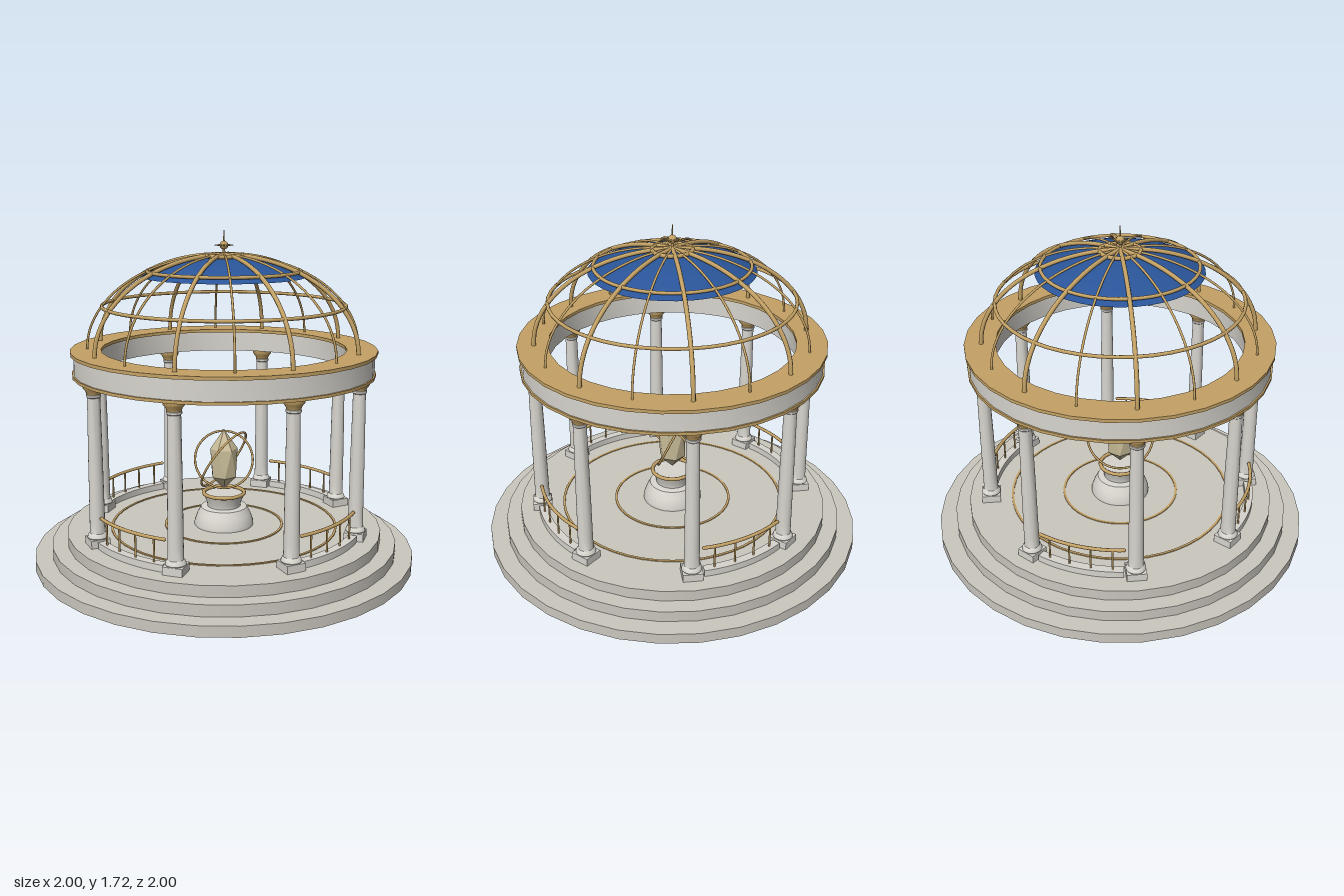
import * as THREE from 'three';
import { toCreasedNormals } from 'three/addons/utils/BufferGeometryUtils.js';

const mat = (name, color, extra = {}) => {
  const m = new THREE.MeshStandardMaterial({ color, ...extra });
  m.name = name;
  return m;
};

export function createModel() {
  const floorStone = mat('floor stone', 0xcbc7bf);
  const marble = mat('marble', 0xd8d5ce);
  const gold = mat('gold', 0xc4a265);
  const blue = mat('dome blue', 0x2a5599, { side: THREE.DoubleSide });
  const crystalMat = mat('crystal', 0xc8bc98, { flatShading: true });

  const root = new THREE.Group();
  root.name = 'domedPavilion';
  const add = (parent, name, geo, material, x = 0, y = 0, z = 0) => {
    const m = new THREE.Mesh(geo, material);
    m.name = name;
    m.position.set(x, y, z);
    parent.add(m);
    return m;
  };
  const lathe = (pts, seg = 32) =>
    toCreasedNormals(new THREE.LatheGeometry(pts.map(p => new THREE.Vector2(...p)), seg), 0.6);
  // closed band with a rectangular section
  const band = (r0, r1, y0, y1, seg = 32) =>
    lathe([[r1, y0], [r1, y1], [r0, y1], [r0, y0], [r1, y0]], seg);
  const hoop = (r, t, seg = 48) => new THREE.TorusGeometry(r, t, 8, seg).rotateX(Math.PI / 2);
  // group turned so its local +z points outward at angle a
  const spoke = (name, a) => {
    const g = new THREE.Group();
    g.name = name;
    g.rotation.y = a;
    root.add(g);
    return g;
  };

  // Stepped base
  [[1, 0, 0.055], [0.91, 0.055, 0.113], [0.83, 0.113, 0.17]].forEach(([r, y0, y1], i) =>
    add(root, 'step' + (i + 1), new THREE.CylinderGeometry(r, r, y1 - y0, 32), floorStone, 0, (y0 + y1) / 2));

  // Gold circles set in the floor
  for (const r of [0.31, 0.595]) add(root, 'floorInlay', band(r - 0.006, r + 0.006, 0.168, 0.175, 48), gold);

  // Columns
  const R = 0.71;
  const shaft = lathe([[0.046, 0.205], [0.051, 0.215], [0.046, 0.23], [0.039, 0.237], [0.038, 0.3],
    [0.036, 0.6], [0.032, 0.93], [0.037, 0.935], [0.037, 0.945], [0.032, 0.95]], 20);
  const capital = lathe([[0, 0.945], [0.034, 0.945], [0.038, 0.96], [0.052, 0.978], [0.054, 1], [0, 1]], 20);
  for (let i = 0; i < 8; i++) {
    const g = spoke('column', Math.PI / 8 + i * Math.PI / 4);
    add(g, 'plinth', new THREE.BoxGeometry(0.1, 0.04, 0.1), marble, 0, 0.19, R);
    add(g, 'shaft', shaft, marble, 0, 0, R);
    add(g, 'capital', capital, gold, 0, 0, R);
  }

  // Curved railings on the four diagonals
  const arc = 0.62, mid = Math.PI / 2;
  const curbShape = new THREE.Shape();
  curbShape.absarc(0, 0, R + 0.022, mid - arc / 2, mid + arc / 2, false);
  curbShape.absarc(0, 0, R - 0.022, mid + arc / 2, mid - arc / 2, true);
  const curb = new THREE.ExtrudeGeometry(curbShape, { depth: 0.035, bevelEnabled: false, curveSegments: 10 })
    .rotateX(Math.PI / 2);
  const rail = new THREE.TorusGeometry(R, 0.009, 8, 16, arc).rotateZ(mid - arc / 2).rotateX(Math.PI / 2);
  for (let i = 0; i < 4; i++) {
    const g = spoke('railing', Math.PI / 4 + i * Math.PI / 2);
    add(g, 'curb', curb, marble, 0, 0.205, 0);
    add(g, 'handrail', rail, gold, 0, 0.325, 0);
    for (const s of [-1, 1])
      add(g, 'railEnd', new THREE.SphereGeometry(0.0095, 8, 6), gold,
        s * R * Math.sin(arc / 2), 0.325, R * Math.cos(arc / 2));
    for (const a of [-0.232, -0.078, 0.078, 0.232])
      add(g, 'baluster', new THREE.CylinderGeometry(0.005, 0.005, 0.12, 8), gold,
        R * Math.sin(a), 0.265, R * Math.cos(a));
  }

  // Ring beam on the columns
  add(root, 'ringBeam', band(0.64, 0.772, 1, 1.112), marble);
  add(root, 'lowerTrim', band(0.755, 0.78, 0.995, 1.01), gold);
  add(root, 'upperTrim', band(0.63, 0.787, 1.108, 1.125), gold);

  // Open dome of ribs and hoops
  const A = 0.7, B = 0.48, Y = 1.12;
  const pts = [];
  for (let i = 0; i <= 12; i++) {
    const t = i / 12 * Math.PI / 2;
    pts.push(new THREE.Vector3(0, Y + B * Math.sin(t), A * Math.cos(t)));
  }
  const path = new THREE.CatmullRomCurve3(pts);
  const ribs = [0.006, 0.011].map(t => new THREE.TubeGeometry(path, 28, t, 8));
  for (let i = 0; i < 16; i++) add(spoke('domeRib', i * Math.PI / 8), 'rib', ribs[i % 2], gold);
  add(root, 'lowerHoop', hoop(0.62, 0.009), gold, 0, 1.345);
  add(root, 'middleHoop', hoop(0.39, 0.009), gold, 0, 1.518);
  add(root, 'crownHoop', hoop(0.1, 0.011, 32), gold, 0, 1.593);

  // Blue cap below the ribs
  const cap = [];
  for (let i = 0; i <= 10; i++) {
    const r = 0.418 * (1 - i / 10);
    cap.push(new THREE.Vector2(r, Y + 0.465 * Math.sqrt(1 - (r / 0.69) ** 2)));
  }
  add(root, 'domeCap', new THREE.LatheGeometry(cap, 40), blue);

  // Finial with star points
  add(root, 'finialSpike', new THREE.CylinderGeometry(0.002, 0.008, 0.13, 8), gold, 0, 1.655);
  add(root, 'finialBoss', new THREE.SphereGeometry(0.022, 12, 8), gold, 0, 1.646);
  for (let i = 0; i < 8; i++)
    add(spoke('finialStar', i * Math.PI / 4), 'starPoint',
      new THREE.ConeGeometry(0.009, 0.055, 6).rotateX(Math.PI / 2), gold, 0, 1.646, 0.0275);

  // Pedestal
  add(root, 'pedestal', lathe([[0.157, 0.17], [0.157, 0.188], [0.142, 0.23], [0.122, 0.268], [0.088, 0.272],
    [0.09, 0.29], [0.108, 0.335], [0, 0.335]]), marble);
  add(root, 'pedestalRim', hoop(0.108, 0.01, 32), gold, 0, 0.343);

  // Floating crystal: two offset six-point rings between two tips
  const ring = (r, y, turn) => Array.from({ length: 6 }, (_, i) => {
    const a = (i + turn) * Math.PI / 3;
    return [r * Math.sin(a), y, r * Math.cos(a)];
  });
  const up = ring(0.072, 0.585, 0.5), low = ring(0.07, 0.435, 0);
  const tri = [];
  for (let i = 0; i < 6; i++) {
    const j = (i + 1) % 6;
    tri.push(up[i], up[j], [0, 0.69, 0], low[i], low[j], up[i],
      low[j], up[j], up[i], low[j], low[i], [0, 0.362, 0]);
  }
  const crystal = new THREE.BufferGeometry();
  crystal.setAttribute('position', new THREE.Float32BufferAttribute(tri.flat(), 3));
  crystal.computeVertexNormals();
  add(root, 'crystal', crystal, crystalMat);

  // Tilted orbit rings around the crystal
  const front = new THREE.Vector3(0, 0, 1);
  for (const [r, n] of [[0.153, [0, 0.42, 0.9]], [0.178, [0.7, -0.5, 0.45]]]) {
    const m = add(root, 'orbitRing', new THREE.TorusGeometry(r, 0.006, 8, 48), gold, 0, 0.525);
    m.quaternion.setFromUnitVectors(front, new THREE.Vector3(...n).normalize());
  }
  return root;
}
